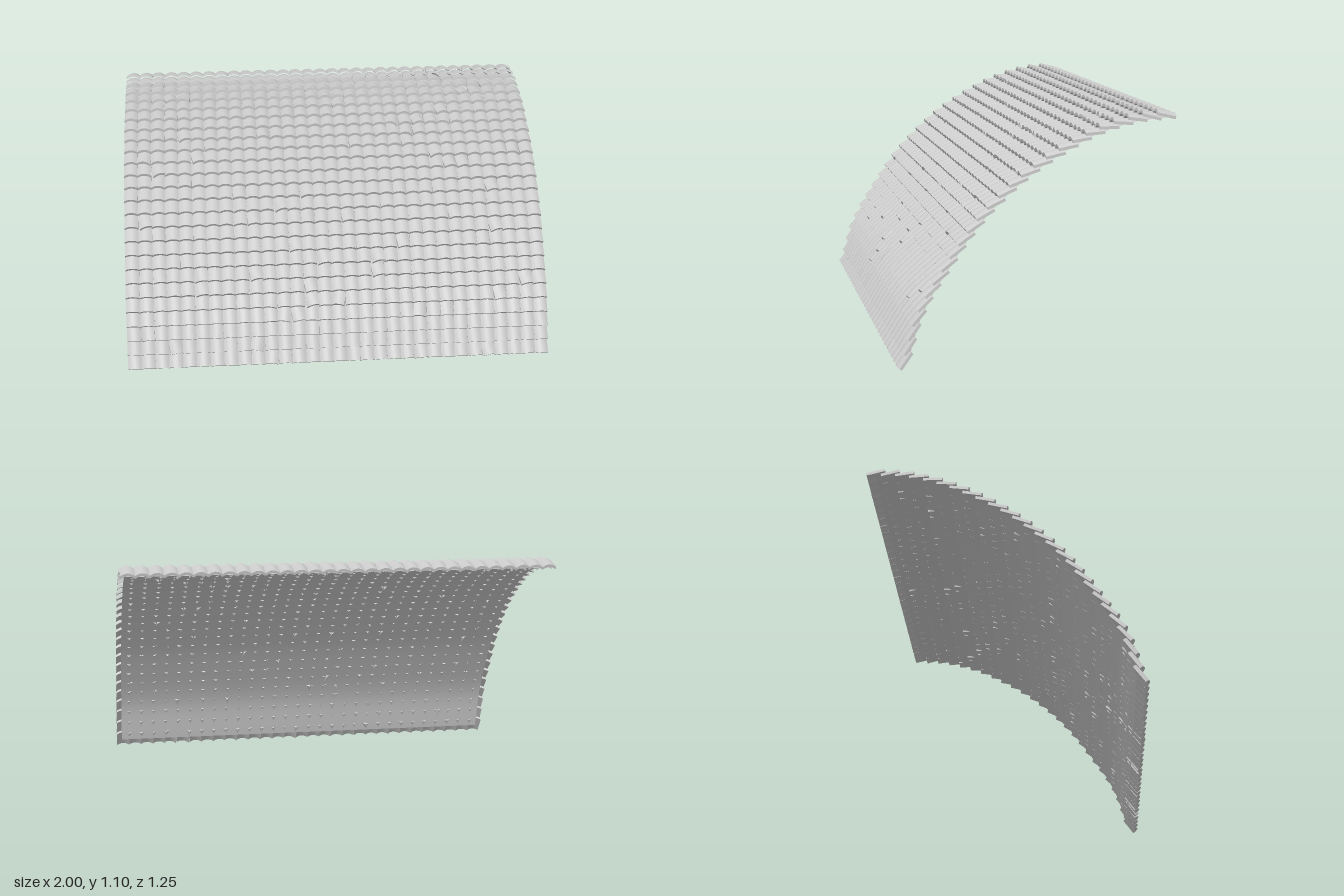
import * as THREE from 'three';
import { mergeGeometries, toCreasedNormals } from 'three/addons/utils/BufferGeometryUtils.js';

const ROWS = 26, COLS = 31, PITCH = 2 / COLS;
const TILT = 0.32, TILE_LENGTH = 0.088;

// Seeded random numbers for the slipped tiles
function seeded(seed) {
  return () => {
    seed = (seed * 1664525 + 1013904223) % 4294967296;
    return seed / 4294967296;
  };
}

// Slope line of the roof in the y-z plane, from eave to upper edge
const slope = new THREE.CatmullRomCurve3([
  [0.59, 0.042], [0.525, 0.245], [0.41, 0.44], [0.25, 0.655], [0.06, 0.83],
  [-0.12, 0.945], [-0.28, 1.02], [-0.45, 1.065], [-0.575, 1.076],
].map(([z, y]) => new THREE.Vector3(0, y, z)));

// Point on the slope and the angle that turns +z to point downhill
function frameAt(u) {
  const t = slope.getTangentAt(u);
  return { point: slope.getPointAt(u), angle: Math.atan2(t.y, -t.z) };
}

// One arched clay tile, its lower end towards +z
function makeTile() {
  const w = PITCH / 2, rise = 0.013, thick = 0.013, n = 6;
  const arch = (x, base) => new THREE.Vector2(x, base + rise * (1 - (x / w) ** 2));
  const outline = [];
  for (let i = 0; i <= n; i++) outline.push(arch(-w + (2 * w * i) / n, -0.013));
  for (let i = n; i >= 0; i--) outline.push(arch(-w + (2 * w * i) / n, -0.013 + thick));
  const geometry = new THREE.ExtrudeGeometry(new THREE.Shape(outline), {
    depth: TILE_LENGTH, bevelEnabled: false,
  });
  geometry.translate(0, 0, -TILE_LENGTH / 2);
  return toCreasedNormals(geometry, 0.6);
}

export function createModel() {
  const group = new THREE.Group();
  group.name = 'curvedTiledRoof';
  const clay = new THREE.MeshStandardMaterial({ color: 0xcccccc });
  const sheetMaterial = new THREE.MeshStandardMaterial({ color: 0xcccccc, side: THREE.DoubleSide });
  const random = seeded(17);
  const tile = makeTile();

  // Overlapping rows of tiles, a few of them knocked askew
  for (let r = 0; r < ROWS; r++) {
    const { point, angle } = frameAt(r / (ROWS - 1));
    const tiles = [];
    for (let c = 0; c < COLS; c++) {
      const inside = c > 0 && c < COLS - 1;
      const slip = inside && random() < 0.12 ? 0.2 : 0.025;
      const jitter = () => (random() - 0.5) * 2 * slip;
      const placed = tile.clone();
      placed.rotateZ(jitter());
      placed.rotateY(jitter());
      placed.rotateX(angle - TILT + jitter() * 0.2);
      placed.translate(-1 + PITCH * (c + 0.5), point.y, point.z);
      tiles.push(placed);
    }
    const row = new THREE.Mesh(mergeGeometries(tiles), clay);
    row.name = 'tileRow' + (r + 1);
    group.add(row);
  }

  // Smooth backing sheet just under the tiles
  const sheet = new THREE.PlaneGeometry(1.95, 1, 1, 60);
  const p = sheet.attributes.position;
  for (let i = 0; i < p.count; i++) {
    const { point, angle } = frameAt(THREE.MathUtils.clamp(p.getY(i) + 0.5, 0, 1));
    const drop = 0.019;
    p.setXYZ(i, p.getX(i), point.y - drop * Math.cos(angle), point.z - drop * Math.sin(angle));
  }
  sheet.computeVertexNormals();
  const backing = new THREE.Mesh(sheet, sheetMaterial);
  backing.name = 'backingSheet';
  group.add(backing);

  // Rest on the ground, centred front to back
  const box = new THREE.Box3().setFromObject(group);
  const shiftZ = -(box.min.z + box.max.z) / 2;
  for (const part of group.children) part.position.set(0, -box.min.y, shiftZ);
  return group;
}
